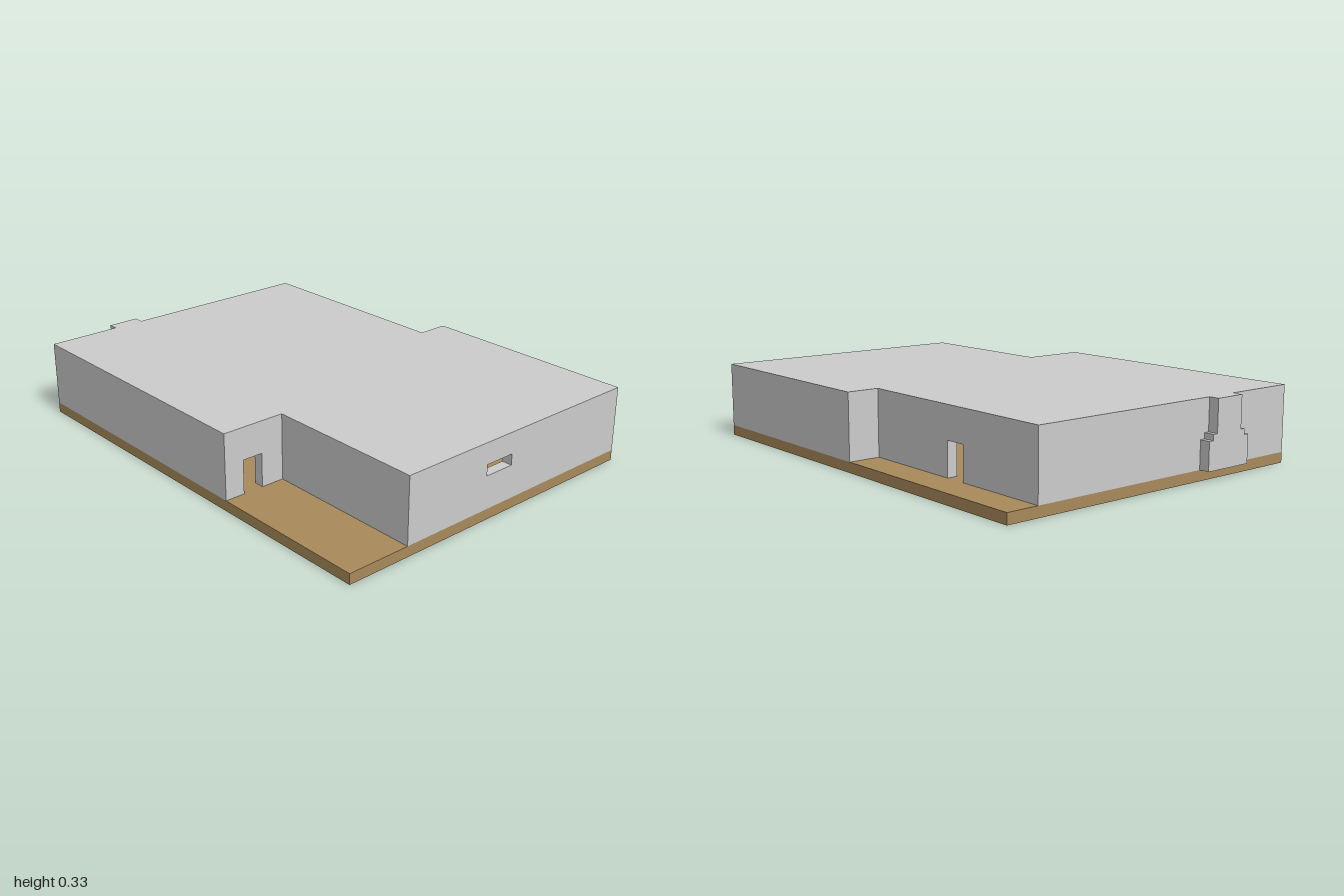
import * as THREE from 'three';

const T = 0.045;      // thickness of slab, walls and roof
const TOP = 0.328;    // roof height

const grey = new THREE.MeshStandardMaterial({ color: 0xcccccc, flatShading: true });
const brown = new THREE.MeshStandardMaterial({ color: 0xa98a5b, flatShading: true });

// Footprint as [x, z], anticlockwise seen from above, with two corner porches cut out
const plan = [
  [-0.955, 0.74], [0.3, 0.74], [0.3, 0.46], [1, 0.46],
  [1, -0.74], [0.02, -0.74], [0.02, -0.6], [-0.955, -0.6],
];

// Openings per wall: distance range along the wall, then height range
const openings = {
  1: [0.088, 0.178, T, 0.19],      // front porch door
  3: [0.412, 0.55, 0.188, 0.235],  // side window
  6: [0.46, 0.555, T, 0.19],       // back porch door
};

const shapeOf = (pts) => new THREE.Shape(pts.map(([x, y]) => new THREE.Vector2(x, y)));
const rect = (a, b, c, d) => [[a, c], [b, c], [b, d], [a, d]];

function extrude(shape, depth) {
  return new THREE.ExtrudeGeometry(shape, { depth, bevelEnabled: false });
}

function add(group, name, geometry, material) {
  const mesh = new THREE.Mesh(geometry, material);
  mesh.name = name;
  group.add(mesh);
  return mesh;
}

export function createModel() {
  const model = new THREE.Group();
  model.name = 'house';

  // Ground slab, filling the porches too
  add(model, 'floorSlab', new THREE.BoxGeometry(1.955, T, 1.48), brown)
    .position.set(0.0225, T / 2, 0);

  // Walls, butted at outer corners and extended past inner ones
  const walls = new THREE.Group();
  walls.name = 'walls';
  model.add(walls);
  const n = plan.length;
  const dir = (i) => {
    const p = plan[i % n], q = plan[(i + 1) % n];
    return new THREE.Vector2(q[0] - p[0], q[1] - p[1]);
  };
  const convex = (i) => dir((i + n - 1) % n).cross(dir(i)) < 0;
  for (let i = 0; i < n; i++) {
    const d = dir(i);
    const start = convex(i) ? T : 0;
    const end = d.length() + (convex((i + 1) % n) ? 0 : T);
    const o = openings[i];
    let outline = rect(start, end, T, TOP - T);
    if (o && o[2] === T) {
      // a door notches the lower edge of its wall
      outline = [outline[0], [o[0], T], [o[0], o[3]], [o[1], o[3]], [o[1], T], ...outline.slice(1)];
    }
    const shape = shapeOf(outline);
    if (o && o[2] > T) shape.holes.push(shapeOf(rect(...o)));
    const wall = add(walls, 'wall' + (i + 1), extrude(shape, T).translate(0, 0, -T), grey);
    wall.position.set(plan[i][0], 0, plan[i][1]);
    wall.rotation.y = Math.atan2(-d.y, d.x);
  }

  // Flat roof over the footprint
  const roof = extrude(shapeOf(plan.map(([x, z]) => [x, -z])), T);
  add(model, 'roof', roof.rotateX(-Math.PI / 2), grey).position.y = TOP - T;

  // Chimney breast with two stepped shoulders on each side
  const half = [[0.115, T], [0.115, 0.165], [0.092, 0.165], [0.092, 0.19], [0.07, 0.19], [0.07, TOP]];
  const profile = [...half, ...half.map(([x, y]) => [-x, y]).reverse()];
  const chimney = add(model, 'chimney', extrude(shapeOf(profile), T), grey);
  chimney.rotation.y = -Math.PI / 2;
  chimney.position.set(-0.955, 0, 0.347);

  return model;
}
